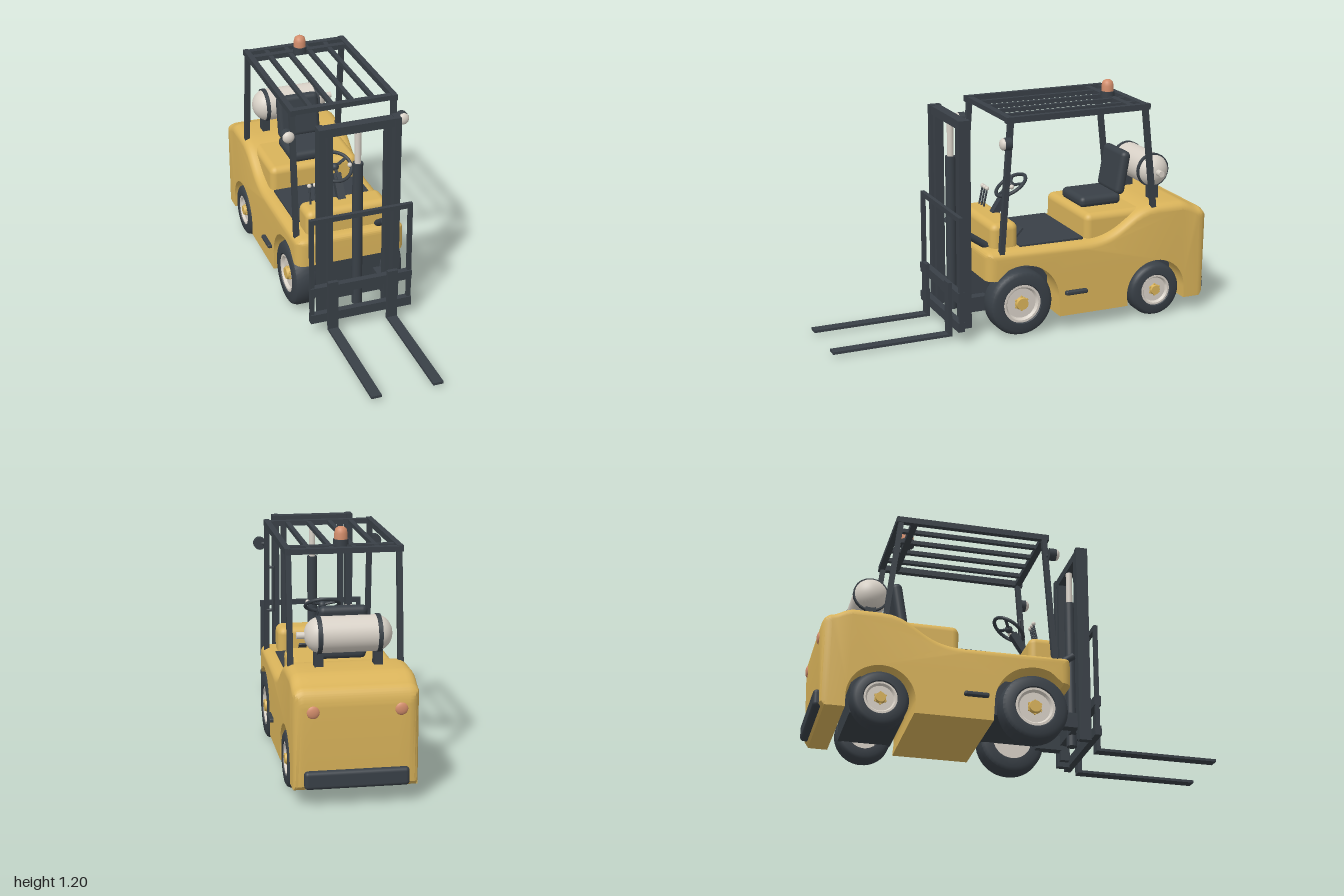
import * as THREE from 'three';
import { toCreasedNormals } from 'three/addons/utils/BufferGeometryUtils.js';
import { RoundedBoxGeometry } from 'three/addons/geometries/RoundedBoxGeometry.js';

export function createModel() {
  const model = new THREE.Group();
  const material = (name, color) => {
    const m = new THREE.MeshStandardMaterial({ color });
    m.name = name;
    return m;
  };
  const yellow = material('body yellow', 0xd9b35a);
  const dark = material('dark grey', 0x394047);
  const light = material('off white', 0xd8d1c7);
  const orange = material('lamp orange', 0xd48e6c);
  const V = (x, y, z) => new THREE.Vector3(x, y, z);

  const add = (name, geo, mat, x = 0, y = 0, z = 0, parent = model) => {
    const mesh = new THREE.Mesh(geo, mat);
    mesh.name = name;
    mesh.position.set(x, y, z);
    parent.add(mesh);
    return mesh;
  };
  // Box given by its ranges; r rounds the edges
  const block = (name, mat, [x0, x1], [y0, y1], [z0, z1], r = 0) => {
    const size = [x1 - x0, y1 - y0, z1 - z0];
    const geo = r ? new RoundedBoxGeometry(...size, 3, r) : new THREE.BoxGeometry(...size);
    return add(name, geo, mat, (x0 + x1) / 2, (y0 + y1) / 2, (z0 + z1) / 2);
  };
  // Square bar between two points
  const bar = (name, a, b, w, d = w, mat = dark) => {
    const mesh = add(name, new THREE.BoxGeometry(w, d, a.distanceTo(b)), mat);
    mesh.position.copy(a).add(b).multiplyScalar(0.5);
    mesh.lookAt(b);
    return mesh;
  };
  // Round rod between two points
  const rod = (name, a, b, r, mat = dark) => {
    const mesh = add(name, new THREE.CylinderGeometry(r, r, a.distanceTo(b), 20), mat);
    mesh.position.copy(a).add(b).multiplyScalar(0.5);
    mesh.quaternion.setFromUnitVectors(V(0, 1, 0), b.clone().sub(a).normalize());
    return mesh;
  };

  // Body: side profile swept across the width, with rounded side edges
  const profile = new THREE.Shape();
  profile.moveTo(0.24, 0.31);
  profile.lineTo(0.24, 0.42);
  profile.quadraticCurveTo(0.24, 0.455, 0.2, 0.455);
  profile.lineTo(-0.29, 0.45);
  profile.bezierCurveTo(-0.52, 0.45, -0.52, 0.59, -0.7, 0.595);
  profile.lineTo(-0.83, 0.595);
  profile.bezierCurveTo(-0.88, 0.59, -0.9, 0.56, -0.94, 0.555);
  profile.quadraticCurveTo(-0.98, 0.54, -0.985, 0.47);
  profile.lineTo(-0.97, 0.1);
  profile.lineTo(-0.95, 0.08);
  profile.lineTo(-0.855, 0.08);
  profile.lineTo(-0.855, 0.14);
  profile.absarc(-0.69, 0.14, 0.165, Math.PI, 0, true);
  profile.lineTo(-0.53, 0.08);
  profile.lineTo(-0.15, 0.08);
  profile.lineTo(-0.145, 0.175);
  profile.absarc(0.055, 0.175, 0.2, Math.PI, 0.75, true);
  const bodyGeo = new THREE.ExtrudeGeometry(profile, { depth: 2, steps: 20, bevelEnabled: false, curveSegments: 20 });
  const pos = bodyGeo.attributes.position;
  const halfWidth = 0.287, edge = 0.05;
  for (let i = 0; i < pos.count; i++) {
    const u = pos.getZ(i) - 1;
    const angle = Math.max(0, Math.abs(u) - 0.5) * Math.PI;
    const inset = edge * (1 - Math.cos(angle));
    const across = Math.min(1, Math.abs(u) * 2) * (halfWidth - edge) + edge * Math.sin(angle);
    const y = pos.getY(i);
    const top = THREE.MathUtils.smoothstep(y, 0.4, 0.45);
    pos.setXYZ(i, THREE.MathUtils.clamp(pos.getX(i), -0.985 + inset, 0.24 - inset), y - inset * top * 0.8, Math.sign(u) * across);
  }
  bodyGeo.rotateY(-Math.PI / 2);
  add('body', toCreasedNormals(bodyGeo, 0.6), yellow);
  block('seatPedestal', yellow, [-0.24, 0.24], [0.42, 0.577], [-0.7, -0.31], 0.035);
  block('dashboard', yellow, [-0.215, 0.215], [0.42, 0.577], [0.045, 0.19], 0.035);
  block('floorMat', dark, [-0.23, 0.23], [0.44, 0.461], [-0.3, 0.045]);
  block('rearBumper', dark, [-0.24, 0.24], [0.09, 0.175], [-0.998, -0.95], 0.018);
  block('frontAxle', dark, [-0.19, 0.19], [0.15, 0.33], [-0.12, 0.2]);
  block('rearAxle', dark, [-0.19, 0.19], [0.09, 0.28], [-0.82, -0.56]);

  // Wheels: lathed tyre, dished rim and hub
  const wheel = (name, s, y, z, r, rim, width) => {
    const g = new THREE.Group();
    g.name = name;
    g.position.set(s * (0.288 - width / 2), y, z);
    g.rotation.z = -s * Math.PI / 2;
    model.add(g);
    const h = width / 2;
    const lathe = pts => toCreasedNormals(new THREE.LatheGeometry(pts.map(p => new THREE.Vector2(...p)), 40).toNonIndexed(), 0.7);
    add('tyre', lathe([[rim, -h], [r * 0.85, -h], [r * 0.95, -h * 0.85], [r, -h * 0.5], [r, h * 0.5],
      [r * 0.95, h * 0.85], [r * 0.85, h], [rim * 1.05, h], [rim, h * 0.9], [rim, h * 0.5]]), dark, 0, 0, 0, g);
    add('rim', lathe([[0, -h * 0.95], [rim, -h * 0.95], [rim, h * 0.92], [rim * 0.88, h * 0.92], [rim * 0.78, h * 0.7], [0, h * 0.7]]), light, 0, 0, 0, g);
    add('hub', new THREE.CylinderGeometry(rim * 0.3, rim * 0.35, h * 0.35, 24), yellow, 0, h * 0.85, 0, g);
    for (let i = 0; i < 6; i++) {
      const a = i * Math.PI / 3;
      add('wheelNut', new THREE.CylinderGeometry(0.006, 0.006, 0.01, 6), yellow, Math.cos(a) * rim * 0.34, h * 0.75, Math.sin(a) * rim * 0.34, g);
    }
  };

  // Parts mirrored left and right
  for (const s of [-1, 1]) {
    wheel('frontWheel', s, 0.175, 0.055, 0.168, 0.098, 0.125);
    wheel('rearWheel', s, 0.143, -0.69, 0.138, 0.08, 0.11);
    const span = (a, b) => (s > 0 ? [a, b] : [-b, -a]);
    block('sideStep', dark, span(0.27, 0.308), [0.19, 0.212], [-0.295, -0.175], 0.008);
    const tail = add('tailLight', new THREE.SphereGeometry(0.03, 24, 12), orange, s * 0.2, 0.45, -0.982);
    tail.scale.z = 0.4;

    // Overhead guard posts and side rails
    bar('frontPost', V(s * 0.262, 0.44, 0.158), V(s * 0.262, 1.1, 0.11), 0.026);
    bar('rearPost', V(s * 0.258, 0.57, -0.678), V(s * 0.258, 1.1, -0.618), 0.026);
    block('roofRail', dark, span(0.247, 0.275), [1.092, 1.122], [-0.64, 0.135]);

    // Work lights
    rod('lampBracket', V(s * 0.26, 1, 0.12), V(s * 0.295, 1, 0.14), 0.01);
    rod('lampHousing', V(s * 0.295, 1, 0.125), V(s * 0.295, 1, 0.16), 0.031);
    const lens = add('lampLens', new THREE.SphereGeometry(0.03, 24, 16), light, s * 0.295, 1, 0.16);
    lens.scale.z = 0.7;

    // Mast rails, tilt cylinders and mounts
    block('outerMastRail', dark, span(0.175, 0.208), [0.06, 1.11], [0.295, 0.355]);
    block('innerMastRail', dark, span(0.135, 0.162), [0.08, 1.07], [0.3, 0.345]);
    block('mastMount', dark, span(0.13, 0.18), [0.13, 0.205], [0.17, 0.31]);
    rod('tiltCylinder', V(s * 0.155, 0.455, 0.19), V(s * 0.155, 0.52, 0.285), 0.018);

    // Load backrest and forks
    block('backrestUpright', dark, span(0.245, 0.266), [0.07, 0.65], [0.36, 0.38]);
    block('forkShank', dark, span(0.13, 0.182), [0.02, 0.3], [0.388, 0.408]);
    block('forkTine', dark, span(0.13, 0.182), [0.02, 0.033], [0.4, 1]);

    // Gas tank straps and posts
    rod('tankStrap', V(s * 0.128, 0.74, -0.735), V(s * 0.148, 0.74, -0.735), 0.088);
    block('tankPost', dark, span(0.118, 0.158), [0.57, 0.68], [-0.76, -0.71]);
  }

  // Roof bars
  for (const z of [0.11, -0.55, -0.625]) block('roofCrossBar', dark, [-0.26, 0.26], [1.093, 1.118], [z - 0.016, z + 0.016]);
  for (const x of [-0.16, -0.053, 0.053, 0.16]) block('roofSlat', dark, [x - 0.011, x + 0.011], [1.095, 1.115], [-0.62, 0.11]);

  // Beacon
  rod('beaconBase', V(0, 1.11, -0.54), V(0, 1.142, -0.54), 0.036);
  const dome = [[0.031, 0], [0.031, 0.03], [0.026, 0.05], [0.014, 0.059], [0, 0.06]].map(p => new THREE.Vector2(...p));
  add('beacon', new THREE.LatheGeometry(dome, 24), orange, 0, 1.14, -0.54);

  // Mast cross members, lift cylinder and carriage
  block('mastTopBeam', dark, [-0.208, 0.208], [1.065, 1.108], [0.3, 0.35]);
  block('mastLowerBeam', dark, [-0.2, 0.2], [0.155, 0.22], [0.295, 0.33]);
  rod('liftCylinder', V(0, 0.1, 0.318), V(0, 0.89, 0.318), 0.026);
  rod('liftPiston', V(0, 0.88, 0.318), V(0, 1.07, 0.318), 0.016, light);
  block('carriageUpperBar', dark, [-0.266, 0.266], [0.222, 0.27], [0.355, 0.388]);
  block('carriageLowerBar', dark, [-0.266, 0.266], [0.068, 0.116], [0.355, 0.388]);
  block('backrestTopBar', dark, [-0.266, 0.266], [0.625, 0.65], [0.36, 0.38]);

  // Seat
  block('seatCushion', dark, [-0.12, 0.12], [0.572, 0.63], [-0.57, -0.34], 0.026);
  const seatBack = block('seatBack', dark, [-0.115, 0.115], [0.615, 0.842], [-0.612, -0.558], 0.026);
  seatBack.rotation.x = -0.17;

  // Gas tank with domed ends and a valve
  const tank = add('gasTank', new THREE.CapsuleGeometry(0.084, 0.27, 10, 32), light, 0, 0.74, -0.735);
  tank.rotation.z = Math.PI / 2;
  tank.scale.y = 0.93;
  rod('tankValve', V(0.19, 0.74, -0.735), V(0.238, 0.74, -0.735), 0.016, light);

  // Steering column and wheel
  bar('steeringColumn', V(0, 0.565, 0.09), V(0, 0.68, 0.015), 0.04, 0.035);
  const steering = new THREE.Group();
  steering.name = 'steeringWheel';
  steering.position.set(0, 0.705, -0.005);
  steering.rotation.x = Math.PI / 2 + 0.56;
  model.add(steering);
  add('steeringRim', new THREE.TorusGeometry(0.085, 0.009, 10, 36), dark, 0, 0, 0, steering);
  add('steeringHub', new THREE.SphereGeometry(0.02, 16, 10), dark, 0, 0, 0, steering);
  for (let i = 0; i < 3; i++) {
    const a = Math.PI / 2 + i * Math.PI * 2 / 3;
    const spoke = add('spoke', new THREE.BoxGeometry(0.08, 0.014, 0.008), dark, Math.cos(a) * 0.042, Math.sin(a) * 0.042, 0, steering);
    spoke.rotation.z = a;
  }
  add('steeringKnob', new THREE.SphereGeometry(0.012, 14, 10), light, 0.07, 0.716, 0.02);

  // Control levers, pedals and grab handle
  for (const x of [-0.165, -0.135, -0.105]) {
    rod('lever', V(x, 0.57, 0.1), V(x, 0.665, 0.08), 0.005);
    add('leverKnob', new THREE.SphereGeometry(0.011, 14, 10), light, x, 0.67, 0.08);
  }
  for (const x of [-0.1, 0, 0.1]) bar('pedal', V(x, 0.462, 0.025), V(x, 0.51, -0.02), 0.04, 0.01);
  rod('grabHandle', V(0.232, 0.65, 0.125), V(0.232, 0.885, 0.112), 0.007);
  for (const [y, z] of [[0.655, 0.125], [0.88, 0.112]]) rod('handleMount', V(0.225, y, z), V(0.262, y, z + 0.01), 0.007);

  return model;
}
